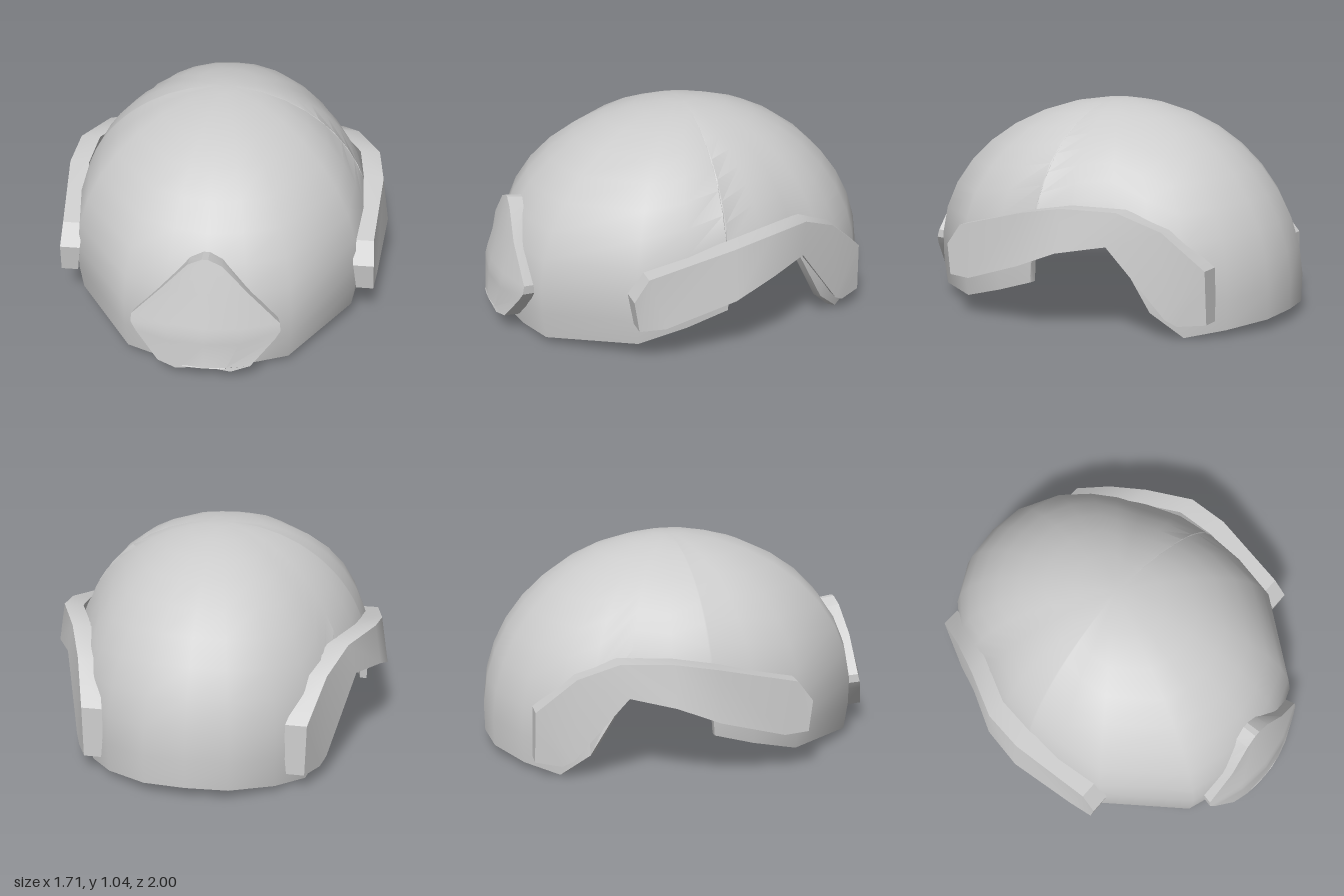
import * as THREE from 'three';
import { toCreasedNormals } from 'three/addons/utils/BufferGeometryUtils.js';

// Closed solid from a series of closed rings, capped with fans at both ends.
function loft(rings, crease) {
  const n = rings[0].length, tris = [];
  const centre = r => r.reduce((c, p) => c.add(p), new THREE.Vector3()).divideScalar(n);
  for (let i = 0; i + 1 < rings.length; i++) {
    for (let j = 0; j < n; j++) {
      const k = (j + 1) % n, a = rings[i], b = rings[i + 1];
      tris.push([a[j], a[k], b[j]], [a[k], b[k], b[j]]);
    }
  }
  const first = rings[0], last = rings[rings.length - 1];
  const c0 = centre(first), c1 = centre(last);
  for (let j = 0; j < n; j++) {
    const k = (j + 1) % n;
    tris.push([c0, first[k], first[j]], [c1, last[j], last[k]]);
  }
  // A negative volume means the faces point inward
  const cross = new THREE.Vector3();
  const volume = tris.reduce((v, [a, b, c]) => v + a.dot(cross.crossVectors(b, c)), 0);
  const points = tris.flatMap(([a, b, c]) => (volume < 0 ? [a, c, b] : [a, b, c]));
  const geometry = new THREE.BufferGeometry().setFromPoints(points);
  return toCreasedNormals(geometry, crease);
}

// Piecewise linear lookup in [input, output] pairs with rising input.
function lerpTable(table, t) {
  for (let i = 1; i < table.length; i++) {
    const [a, va] = table[i - 1], [b, vb] = table[i];
    if (t <= b || i === table.length - 1) {
      const f = THREE.MathUtils.clamp((t - a) / (b - a), 0, 1);
      return va + (vb - va) * f;
    }
  }
}

const V = (x, y, z) => new THREE.Vector3(x, y, z);

// Half plan of the shell, front to back: x, z at the widest level, rim height
const HALF_PLAN = [
  [0, 0.925, 0.025], [0.2, 0.89, 0.03], [0.4, 0.82, 0.038], [0.7, 0.44, 0.085],
  [0.745, 0.2, 0.155], [0.755, 0, 0.22], [0.755, -0.01, 0.33], [0.74, -0.2, 0.42],
  [0.68, -0.4, 0.44], [0.61, -0.57, 0.12], [0.53, -0.71, 0.0], [0.4, -0.86, 0.03],
  [0.2, -0.975, 0.052], [0, -1.0, 0.06],
];

function shellGeometry() {
  const top = 1.04, cz = -0.04, rows = 10;
  const plan = [...HALF_PLAN, ...HALF_PLAN.slice(1, -1).reverse().map(([x, z, y]) => [-x, z, y])];
  const ring = (t, inner) => plan.map(([x, z, rim]) => {
    const y0 = lerpTable([[-1, 0.15], [-0.1, 0.32], [0.2, 0.33], [0.92, 0.25]], z);
    const h = top - y0;
    const end = Math.acos((rim - y0) / h);
    const phi = 0.08 + (end - 0.08) * t;
    let s = Math.sin(phi);
    if (phi > Math.PI / 2) s = 1 - 0.5 * (1 - s);
    const y = y0 + h * Math.cos(phi) - (inner ? 0.035 * Math.max(0, Math.cos(phi)) : 0);
    if (inner) s *= 0.955;
    return V(x * s, y, cz + (z - cz) * s);
  });
  const rings = [];
  for (let i = 0; i <= rows; i++) rings.push(ring(i / rows, false));
  for (let i = rows; i >= 0; i--) rings.push(ring(i / rows, true));
  return loft(rings, 0.75);
}

// Side rail stations: top edge z, y and bottom edge z, y
const RAIL = [
  [0.475, 0.36, 0.455, 0.21], [0.4, 0.46, 0.33, 0.21], [0, 0.565, 0, 0.32],
  [-0.2, 0.6, -0.2, 0.4], [-0.43, 0.585, -0.4, 0.43], [-0.62, 0.5, -0.65, 0.1],
  [-0.81, 0.33, -0.7, 0.07], [-0.815, 0.2, -0.82, 0.08],
];

function railGeometry(side) {
  const outer = (z, y) =>
    lerpTable([[-0.82, 0.53], [-0.2, 0.84], [0, 0.855], [0.47, 0.785]], z) - 0.17 * Math.max(0, y - 0.33);
  const rings = RAIL.map(([zt, yt, zb, yb]) => {
    const xt = outer(zt, yt), xb = outer(zb, yb);
    return [
      V(side * xt, yt, zt), V(side * xb, yb, zb),
      V(side * (xb - 0.085), yb, zb), V(side * (xt - 0.1), yt, zt),
    ];
  });
  return loft(rings, 0.4);
}

// Front plate rows: height, half width
const PLATE = [
  [0.64, 0.015], [0.61, 0.08], [0.48, 0.2], [0.31, 0.35],
  [0.27, 0.355], [0.23, 0.33], [0.1, 0.22], [0.078, 0.13],
];

function plateGeometry() {
  const columns = [-1, -0.5, 0, 0.5, 1];
  const rings = PLATE.map(([y, w], i) => {
    const front = columns.map(u => {
      const x = u * w;
      const z = lerpTable([[0.08, 1], [0.27, 0.985], [0.64, 0.875]], y) - 0.085 * (x / 0.35) ** 2;
      // Shallow notch in the bottom edge
      const notch = i === PLATE.length - 1 && Math.abs(u) < 1 ? 0.018 : 0;
      return V(x, y + notch, z);
    });
    const back = front.map(p => V(p.x * 0.95, p.y - 0.01, p.z - 0.075)).reverse();
    return [...front, ...back];
  });
  return loft(rings, 0.4);
}

export function createModel() {
  const group = new THREE.Group();
  const material = new THREE.MeshStandardMaterial({ color: 0xcccccc });
  const add = (name, geometry) => {
    const mesh = new THREE.Mesh(geometry, material);
    mesh.name = name;
    group.add(mesh);
  };
  add('helmetShell', shellGeometry());
  add('leftRail', railGeometry(1));
  add('rightRail', railGeometry(-1));
  add('frontMountPlate', plateGeometry());
  return group;
}
